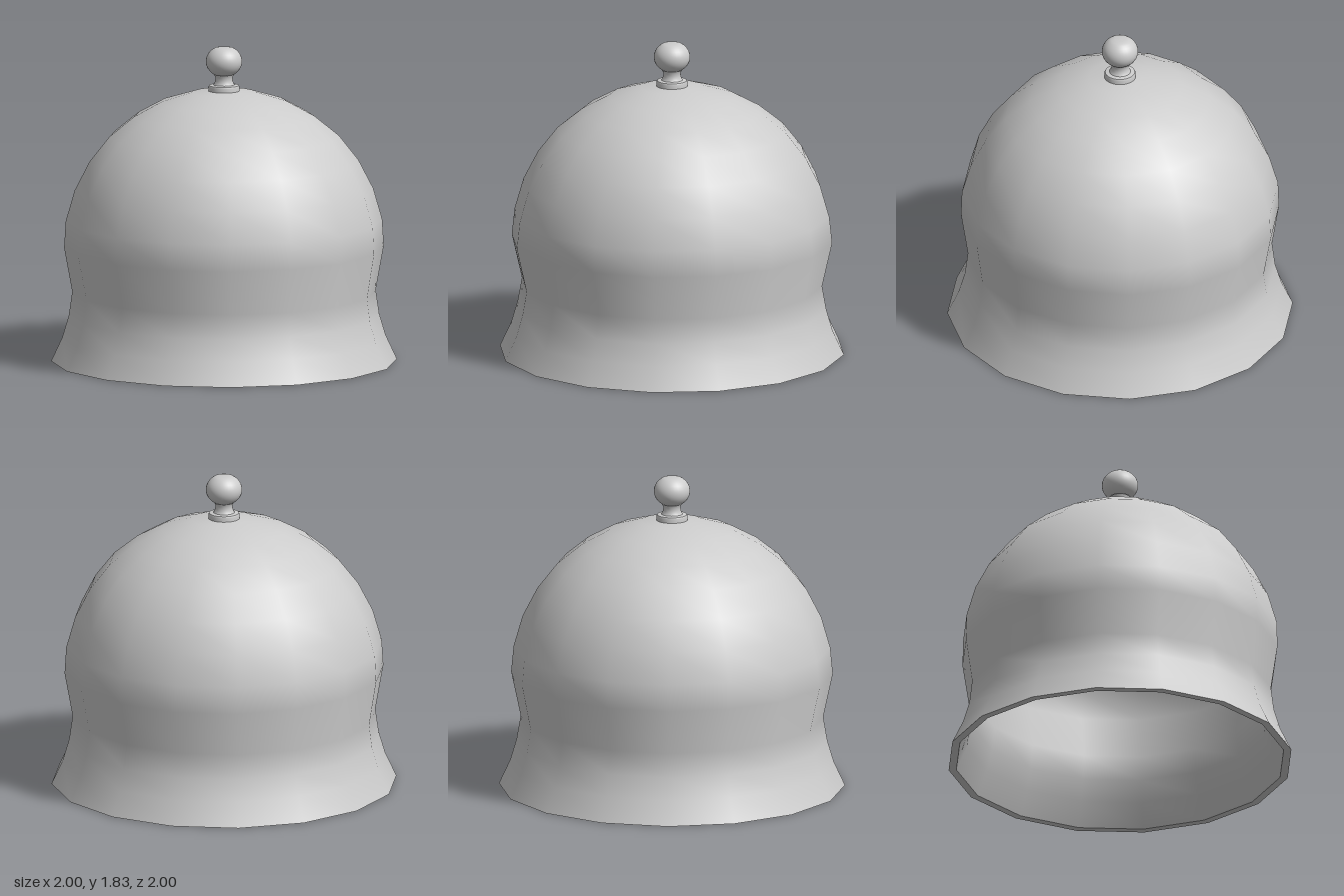
import * as THREE from 'three';

const material = new THREE.MeshStandardMaterial({ color: 0xcccccc });

// Lathe mesh from [radius, height] pairs; the winding follows the profile direction
function lathe(name, profile, sides) {
  const points = profile.map(([r, y]) => new THREE.Vector2(r, y));
  const mesh = new THREE.Mesh(new THREE.LatheGeometry(points, sides), material);
  mesh.name = name;
  return mesh;
}

// The waist bulge is a little narrower front to back than side to side
function narrowBulge(mesh) {
  const p = mesh.geometry.attributes.position;
  for (let i = 0; i < p.count; i++) {
    if (Math.abs(p.getY(i) - 0.665) < 0.03) p.setZ(i, p.getZ(i) * 0.985);
    if (Math.abs(p.getY(i) - 0.4) < 0.03) p.setZ(i, p.getZ(i) * 1.01);
  }
  return mesh;
}

export function createModel() {
  const model = new THREE.Group();
  model.name = 'bell';
  const sides = 16;

  // Flared skirt, waist and dome, bottom to top
  const outer = [
    [1, 0], [0.935, 0.14], [0.898, 0.265], [0.873, 0.405], [0.932, 0.665],
    [0.915, 0.82], [0.863, 1.0], [0.778, 1.165], [0.664, 1.31],
    [0.522, 1.425], [0.362, 1.513], [0.182, 1.568], [0, 1.585],
  ];
  // Inner wall follows the outer one at constant thickness
  const wall = 0.045;
  const inner = outer.map(([r, y]) => {
    const lift = Math.max(0, (y - 0.82) / 0.765);
    return [r * (1 - wall), y - wall * lift];
  }).reverse();

  model.add(narrowBulge(lathe('bellOuterShell', outer, sides)));
  model.add(narrowBulge(lathe('bellInnerShell', inner, sides)));
  model.add(lathe('bellRim', [[1 - wall, 0], [1, 0]], sides));

  // Knob: collar, neck and ball
  const knob = new THREE.Group();
  knob.name = 'knob';
  knob.add(lathe('collarSide', [[0.091, 1.56], [0.091, 1.598], [0.086, 1.608]], 32));
  knob.add(lathe('collarTop', [[0.086, 1.608], [0.062, 1.612]], 32));
  knob.add(lathe('neck', [
    [0.064, 1.608], [0.056, 1.618], [0.051, 1.635], [0.05, 1.655], [0.058, 1.672],
  ], 32));
  const ball = [];
  for (let i = 0; i <= 12; i++) {
    const a = THREE.MathUtils.lerp(-0.98, 1.05, i / 12);
    ball.push([0.105 * Math.cos(a), 1.748 + 0.091 * Math.sin(a)]);
  }
  ball.push([0.03, 1.831], [0, 1.832]);
  knob.add(lathe('ball', ball, 32));
  model.add(knob);

  return model;
}
